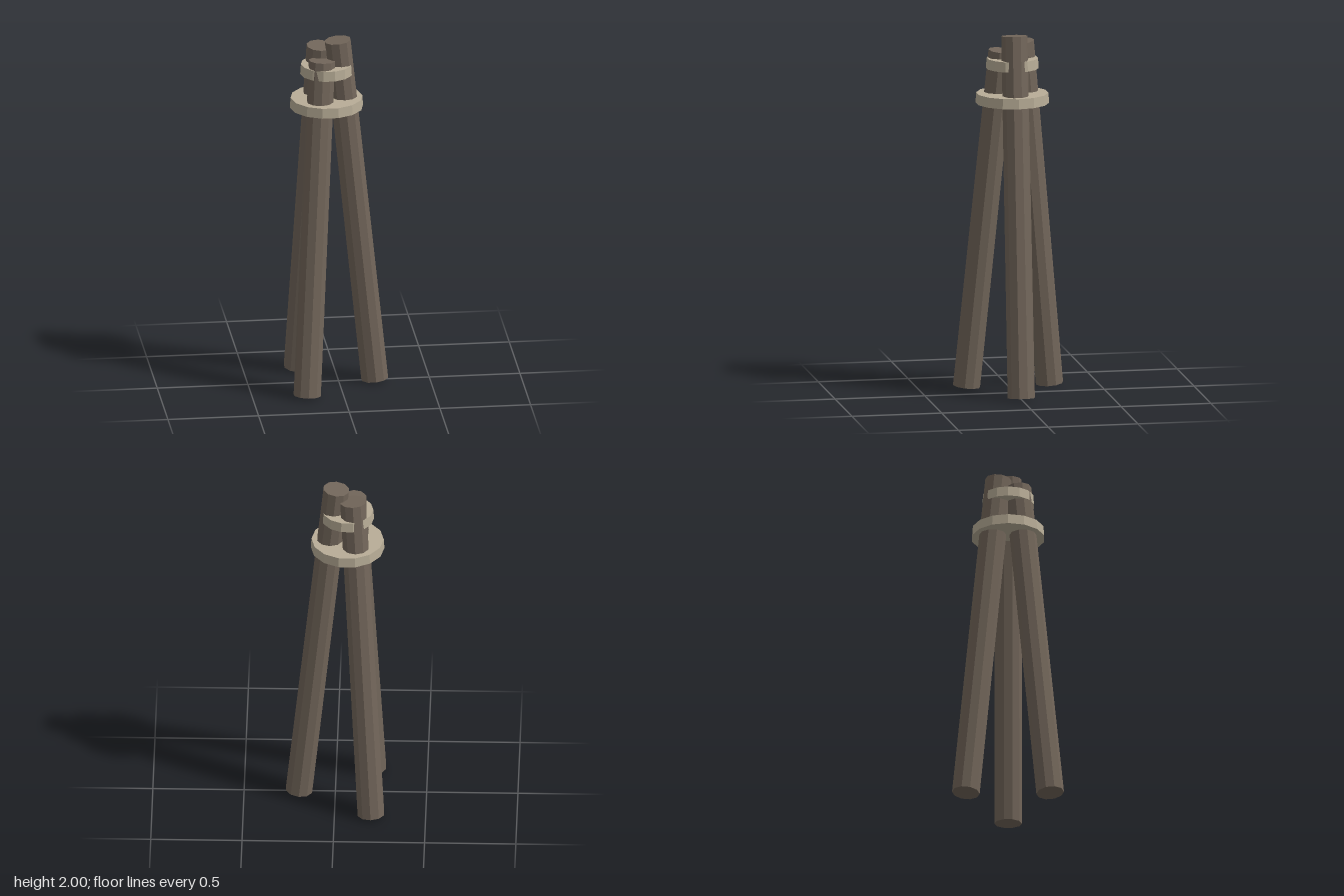
import * as THREE from 'three';

export function createModel() {
  const model = new THREE.Group();
  model.name = 'lashedPoles';

  const wood = new THREE.MeshStandardMaterial({ color: 0x72665a, flatShading: true });
  wood.name = 'weatheredWood';
  const rope = new THREE.MeshStandardMaterial({ color: 0xb8ad97, flatShading: true });
  rope.name = 'paleBinding';

  // Ten-sided pole running between two points, its ends cut square to its axis
  const up = new THREE.Vector3(0, 1, 0);
  function addPole(name, bottom, top) {
    const a = new THREE.Vector3(...bottom);
    const b = new THREE.Vector3(...top);
    const axis = b.clone().sub(a);
    const pole = new THREE.Mesh(new THREE.CylinderGeometry(0.073, 0.076, axis.length(), 10), wood);
    pole.name = name;
    pole.position.copy(a).add(b).multiplyScalar(0.5);
    pole.quaternion.setFromUnitVectors(up, axis.normalize());
    model.add(pole);
  }

  addPole('leftPole', [0.199, 0.012, 0], [-0.005, 1.993, 0]);
  addPole('backPole', [-0.2, 0.012, -0.232], [-0.098, 1.947, -0.053]);
  addPole('frontPole', [-0.2, 0.012, 0.23], [-0.098, 1.897, 0.054]);

  // Fourteen-sided bindings that the poles pass through
  function addBinding(name, y, radius) {
    const geometry = new THREE.CylinderGeometry(radius - 0.004, radius, 0.056, 14, 1, false, Math.PI / 2);
    const binding = new THREE.Mesh(geometry, rope);
    binding.name = name;
    binding.position.set(-0.067, y, 0);
    model.add(binding);
  }

  addBinding('lowerBinding', 1.638, 0.202);
  addBinding('upperBinding', 1.832, 0.145);

  return model;
}
